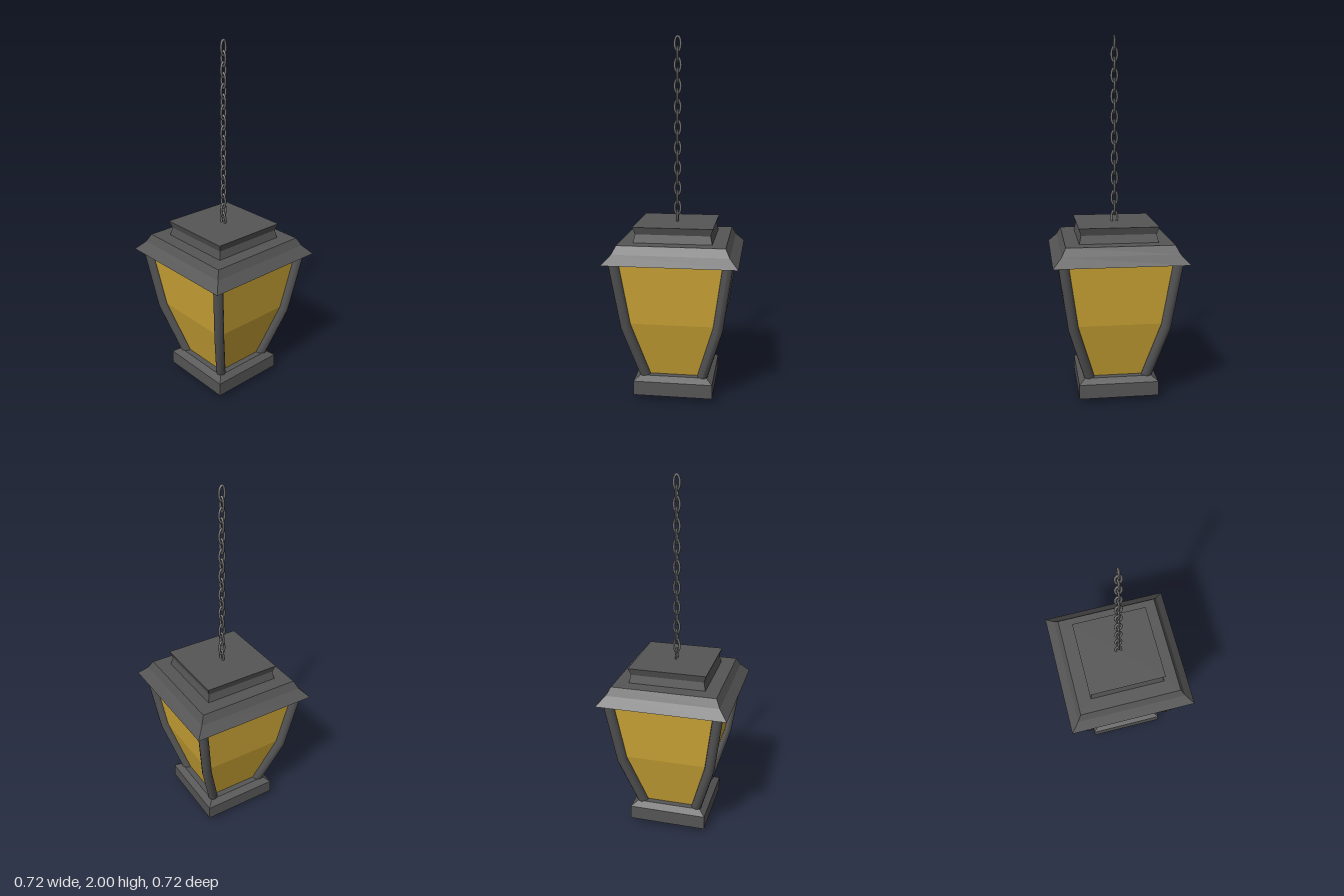
import * as THREE from 'three';

const metal = new THREE.MeshStandardMaterial({ color: 0x555555 });
metal.name = 'dark metal';
const chainMetal = new THREE.MeshStandardMaterial({ color: 0x707070 });
chainMetal.name = 'chain steel';
const amber = new THREE.MeshStandardMaterial({ color: 0xd2aa38 });
amber.name = 'amber glass';

// Square, flat-faced solid from [half width, height] pairs, bottom to top
function squareLoft(name, profile, material) {
  const points = profile.map(([half, y]) => new THREE.Vector2(half * Math.SQRT2, y));
  const geometry = new THREE.LatheGeometry(points, 4, Math.PI / 4).toNonIndexed();
  geometry.computeVertexNormals();
  const mesh = new THREE.Mesh(geometry, material);
  mesh.name = name;
  return mesh;
}

// Round corner post that follows the bend of the glass
function cornerPost(sx, sz) {
  const levels = [[0.305, 0.82], [0.252, 0.45], [0.158, 0.13]];
  const geometry = new THREE.CylinderGeometry(0.027, 0.027, 2, 12, 2);
  const p = geometry.attributes.position;
  for (let i = 0; i < p.count; i++) {
    const [offset, y] = levels[Math.round(1 - p.getY(i))];
    const outward = p.getX(i) * sx + p.getZ(i) * sz;
    p.setXYZ(i, p.getX(i) + sx * offset, y - 0.3 * outward, p.getZ(i) + sz * offset);
  }
  geometry.computeVertexNormals();
  const mesh = new THREE.Mesh(geometry, metal);
  mesh.name = 'cornerPost';
  return mesh;
}

// Oval link: a torus whose tube centre line is stretched upwards
function linkGeometry() {
  const radius = 0.016, stretch = 0.023;
  const geometry = new THREE.TorusGeometry(radius, 0.0065, 8, 20);
  const p = geometry.attributes.position;
  for (let i = 0; i < p.count; i++) {
    const x = p.getX(i), y = p.getY(i);
    p.setY(i, y + stretch * y / Math.hypot(x, y));
  }
  geometry.computeVertexNormals();
  return geometry;
}

export function createModel() {
  const model = new THREE.Group();
  model.name = 'hangingLantern';

  // Base, glass body, roof and cap
  model.add(
    squareLoft('base', [[0, 0.005], [0.145, 0.005], [0.22, 0.035], [0.22, 0.115], [0.185, 0.14], [0, 0.14]], metal),
    squareLoft('glass', [[0.148, 0.13], [0.245, 0.46], [0.298, 0.815]], amber),
    squareLoft('roof', [[0, 0.81], [0.36, 0.81], [0.313, 0.86], [0.29, 0.905], [0, 0.905]], metal),
    squareLoft('cap', [[0.215, 0.9], [0.204, 0.95], [0.217, 0.99], [0, 0.99]], metal),
  );

  // Four corner posts
  for (const sx of [-1, 1]) for (const sz of [-1, 1]) model.add(cornerPost(sx, sz));

  // Chain, each link turned a quarter from the last
  const chain = new THREE.Group();
  chain.name = 'chain';
  const geometry = linkGeometry();
  for (let i = 0; i < 18; i++) {
    const link = new THREE.Mesh(geometry, chainMetal);
    link.name = 'chainLink';
    link.position.y = 1.9545 - i * 0.0556;
    link.rotation.y = (i % 2) * Math.PI / 2;
    chain.add(link);
  }
  model.add(chain);
  return model;
}
